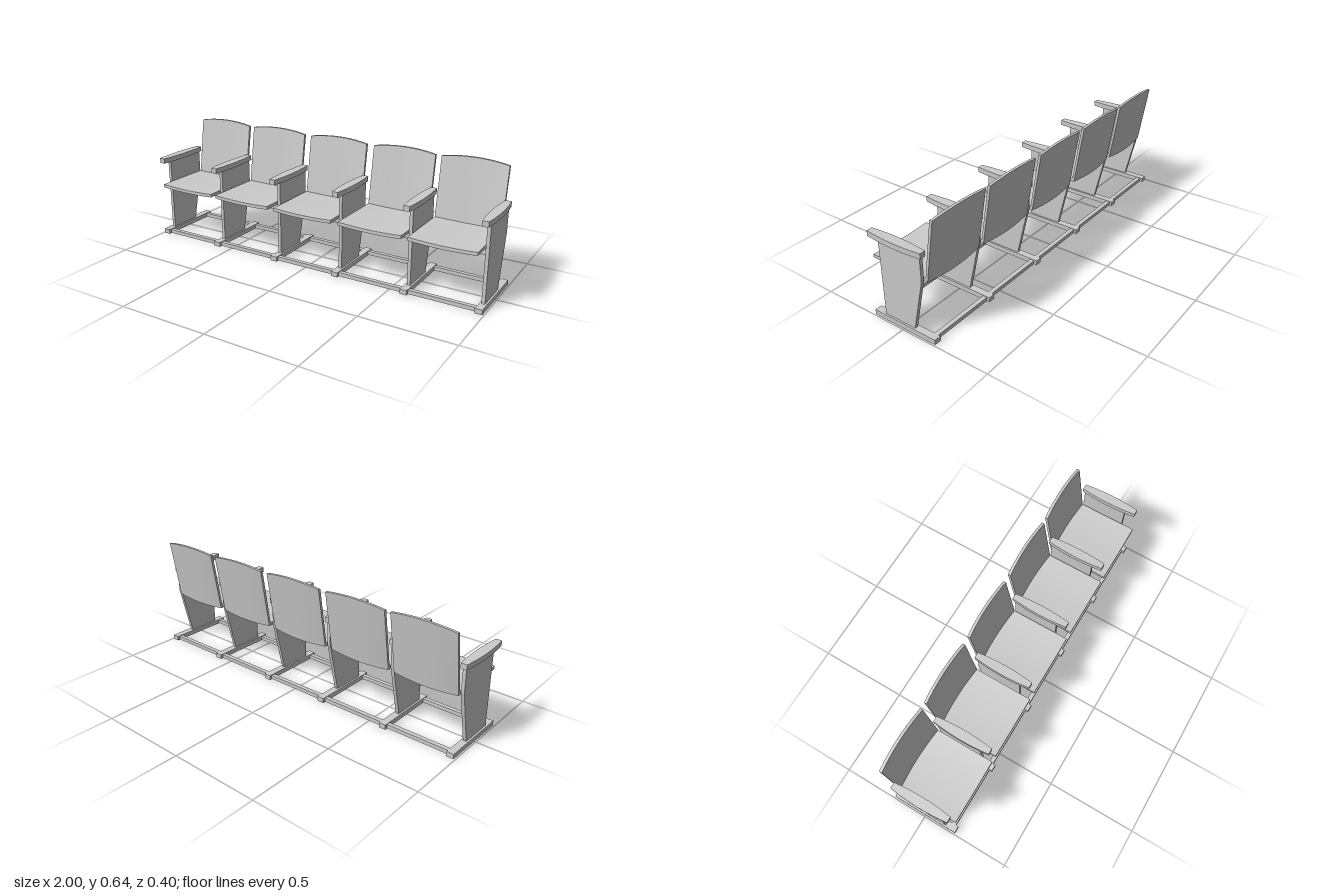
import * as THREE from 'three';
import { toCreasedNormals } from 'three/addons/utils/BufferGeometryUtils.js';

const grey = new THREE.MeshStandardMaterial({ color: 0xcccccc });

// One-piece bent shell: an L profile swept across the seat width with a shallow bow
function shellGeometry(width, columns = 10) {
  const pos = [], index = [], n = 6;
  for (let i = 0; i <= columns; i++) {
    const t = (2 * i) / columns - 1, b = 1 - t * t;
    const profile = [ // [z, y]
      [0.2, 0.297 - 0.007 * b],
      [0.2, 0.315 - 0.007 * b],
      [-0.128 - 0.012 * b, 0.315 - 0.007 * b],
      [-0.177 - 0.008 * b, 0.627 + 0.015 * b],
      [-0.192 - 0.008 * b, 0.627 + 0.015 * b],
      [-0.138 - 0.012 * b, 0.297 - 0.007 * b],
    ];
    for (const [z, y] of profile) pos.push((t * width) / 2, y, z);
  }
  for (let i = 0; i < columns; i++) {
    for (let k = 0; k < n; k++) {
      const a = i * n + k, b = i * n + ((k + 1) % n), c = b + n, d = a + n;
      index.push(a, d, c, a, c, b);
    }
  }
  // side edges of the L
  const e = columns * n;
  for (const [a, b, c] of [[0, 5, 2], [0, 2, 1], [2, 5, 4], [2, 4, 3]]) {
    index.push(e + a, e + b, e + c, a, c, b);
  }
  const geo = new THREE.BufferGeometry();
  geo.setAttribute('position', new THREE.Float32BufferAttribute(pos, 3));
  geo.setIndex(index);
  return toCreasedNormals(geo, 0.5);
}

// Tapered side panel, drawn in z and y, then turned to face sideways
function panelGeometry(thickness) {
  const outline = [[0.125, 0.02], [0.125, 0.44], [-0.128, 0.44], [-0.128, 0.31], [-0.062, 0.025], [-0.062, 0.02]];
  const shape = new THREE.Shape(outline.map(([z, y]) => new THREE.Vector2(z, y)));
  return new THREE.ExtrudeGeometry(shape, { depth: thickness, bevelEnabled: false })
    .rotateY(-Math.PI / 2).translate(thickness / 2, 0, 0);
}

// Armrest that swells towards the middle of its length
function armrestGeometry() {
  const front = 0.185, back = -0.14, side = [];
  for (let i = 0; i <= 6; i++) {
    const t = i / 6, s = 2 * t - 1;
    side.push([0.016 + 0.011 * (1 - s * s), THREE.MathUtils.lerp(front, back, t)]);
  }
  const points = [...side, ...side.map(([x, z]) => [-x, z]).reverse()];
  const shape = new THREE.Shape(points.map(([x, z]) => new THREE.Vector2(x, -z)));
  const geo = new THREE.ExtrudeGeometry(shape, { depth: 0.028, bevelEnabled: false })
    .rotateX(-Math.PI / 2).translate(0, 0.437, 0);
  return toCreasedNormals(geo, 0.5);
}

export function createModel() {
  const model = new THREE.Group();
  model.name = 'seatRow';
  const add = (parent, name, geo, x = 0, y = 0, z = 0) => {
    const mesh = new THREE.Mesh(geo, grey);
    mesh.name = name;
    mesh.position.set(x, y, z);
    parent.add(mesh);
  };

  // Supports: floor foot, side panel and armrest
  const panel = panelGeometry(0.018);
  const armrest = armrestGeometry();
  const foot = new THREE.BoxGeometry(0.038, 0.026, 0.38);
  for (const x of [-0.973, -0.59, -0.195, 0.19, 0.585, 0.973]) {
    const support = new THREE.Group();
    support.name = 'support';
    support.position.x = x;
    add(support, 'foot', foot, 0, 0.013, -0.003);
    add(support, 'sidePanel', panel);
    add(support, 'armrest', armrest);
    model.add(support);
  }

  // Seat shells between the supports
  const shell = shellGeometry(0.352);
  for (const x of [-0.783, -0.398, -0.003, 0.393, 0.778]) add(model, 'seatShell', shell, x);

  // Long floor rails joining the feet
  const rail = new THREE.BoxGeometry(1.946, 0.021, 0.024);
  add(model, 'frontRail', rail, 0, 0.0125, 0.16);
  add(model, 'backRail', rail, 0, 0.0125, -0.166);

  return model;
}
